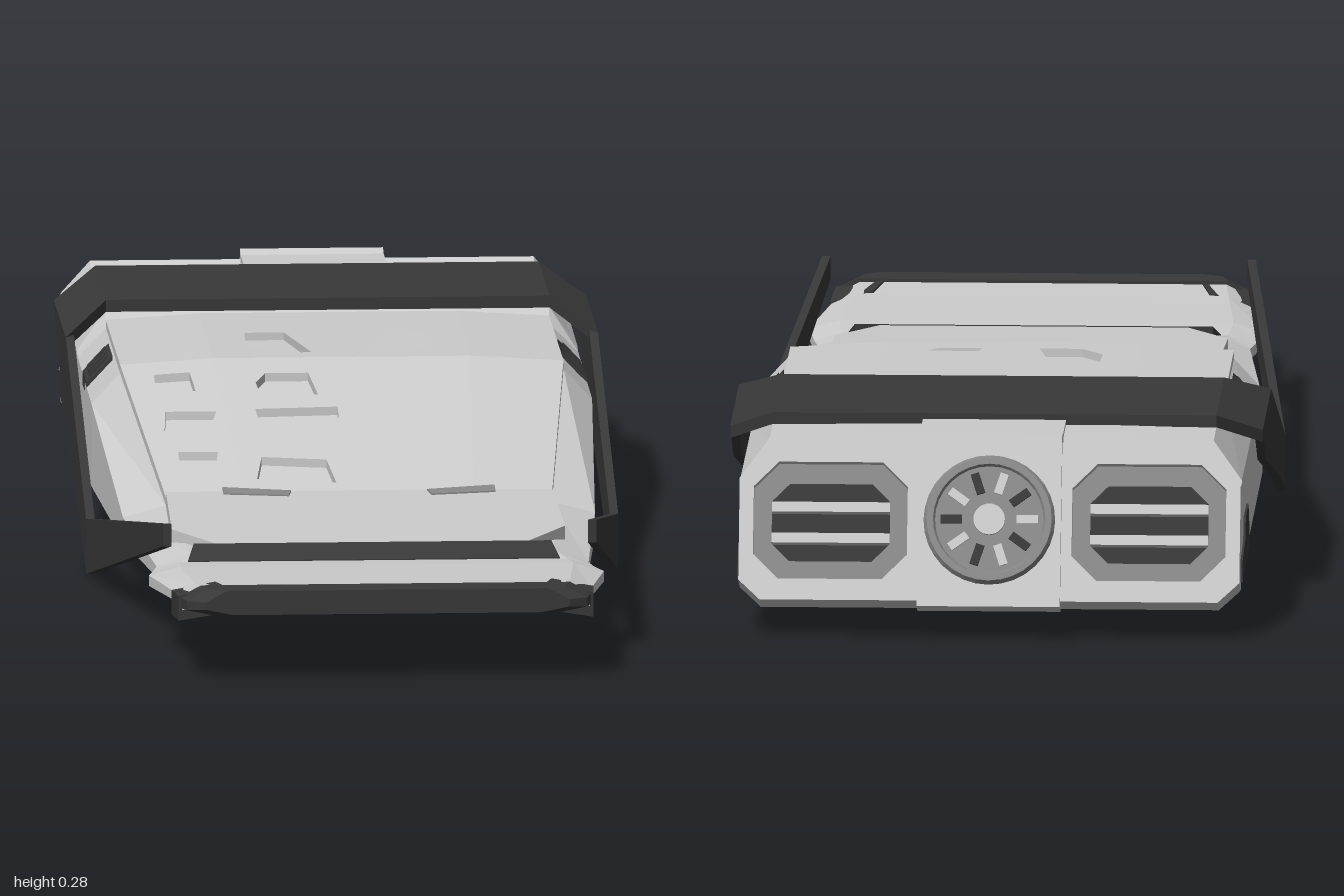
import * as THREE from 'three';

const grey = new THREE.MeshStandardMaterial({ color: 0xcccccc, flatShading: true });
const dark = new THREE.MeshStandardMaterial({ color: 0x383838, flatShading: true });
const mid = new THREE.MeshStandardMaterial({ color: 0x888888, flatShading: true });

function add(parent, name, geo, mat, x = 0, y = 0, z = 0) {
  const m = new THREE.Mesh(geo, mat);
  m.name = name;
  m.position.set(x, y, z);
  parent.add(m);
  return m;
}

// Closed faceted solid through equal-length loops of [x, y, z]
function loft(loops) {
  const tris = [], n = loops[0].length, last = loops.length - 1;
  for (let i = 0; i < last; i++) for (let j = 0; j < n; j++) {
    const k = (j + 1) % n, a = loops[i][j], b = loops[i][k], c = loops[i + 1][k], d = loops[i + 1][j];
    tris.push([a, b, c], [a, c, d]);
  }
  for (let j = 1; j < n - 1; j++) {
    tris.push([loops[0][0], loops[0][j + 1], loops[0][j]]);
    tris.push([loops[last][0], loops[last][j], loops[last][j + 1]]);
  }
  // turn the faces outward if the enclosed volume is negative
  let vol = 0;
  for (const [a, b, c] of tris)
    vol += new THREE.Vector3(...a).dot(new THREE.Vector3(...b).cross(new THREE.Vector3(...c)));
  const flat = tris.flatMap(([a, b, c]) => (vol < 0 ? [...a, ...c, ...b] : [...a, ...b, ...c]));
  const g = new THREE.BufferGeometry();
  g.setAttribute('position', new THREE.Float32BufferAttribute(flat, 3));
  g.computeVertexNormals();
  return g;
}

const toShape = (pts, holes = []) => {
  const s = new THREE.Shape(pts.map(p => new THREE.Vector2(...p)));
  s.holes = holes.map(h => new THREE.Path(h.map(p => new THREE.Vector2(...p))));
  return s;
};
const extrude = (shape, depth) => new THREE.ExtrudeGeometry(shape, { depth, bevelEnabled: false });

// Plate outlined in (x, z), its top following the height rule
function plate(outline, height, depth, holes = [], sx = 1) {
  const f = l => l.map(([x, z]) => [x * sx, -z]);
  const g = extrude(toShape(f(outline), holes.map(f)), depth).rotateX(-Math.PI / 2);
  const p = g.attributes.position;
  for (let i = 0; i < p.count; i++)
    p.setY(i, p.getY(i) - depth + height(Math.abs(p.getX(i)), p.getZ(i)));
  g.computeVertexNormals();
  return g;
}
const mirrorPts = half => [...half, ...half.map(([x, y]) => [-x, y]).reverse()];
const flip = h => h.map(([x, z]) => [-x, z]);

export function createModel() {
  const model = new THREE.Group();
  model.name = 'craft';

  // Hull stations: z, belly width/height, side width, side low/high, shoulder x/y, crown x/y
  const stations = [
    [0.96, 0.24, 0.092, 0.285, 0.098, 0.112, 0.255, 0.127, 0.15, 0.127],
    [0.88, 0.25, 0.087, 0.292, 0.098, 0.11, 0.262, 0.122, 0.15, 0.122],
    [0.72, 0.28, 0.078, 0.318, 0.09, 0.105, 0.275, 0.117, 0.15, 0.117],
    [0.655, 0.28, 0.074, 0.308, 0.085, 0.1, 0.27, 0.112, 0.15, 0.112],
    [0.62, 0.28, 0.07, 0.302, 0.085, 0.1, 0.255, 0.118, 0.15, 0.118],
    [0.28, 0.3, 0.056, 0.33, 0.075, 0.11, 0.27, 0.126, 0.16, 0.133],
    [-0.15, 0.32, 0.055, 0.35, 0.078, 0.195, 0.31, 0.238, 0.18, 0.246],
    [-0.5, 0.32, 0.055, 0.35, 0.078, 0.2, 0.31, 0.24, 0.18, 0.248],
    [-0.52, 0.32, 0.055, 0.35, 0.078, 0.205, 0.31, 0.262, 0.18, 0.265],
    [-0.865, 0.32, 0.055, 0.35, 0.078, 0.21, 0.31, 0.262, 0.18, 0.265],
  ];
  // the last station leans back towards the bottom
  const ring = (half, z) => mirrorPts(half).map(([x, y]) => [x, y, z < -0.8 ? z - 0.4 * (0.265 - y) : z]);
  add(model, 'hull', loft(stations.map(([z, , , w, ya, yc, wo, yo, wi, yi]) =>
    ring([[w, ya], [w, yc], [wo, yo], [wi, yi]], z))), grey);
  add(model, 'belly', loft(stations.map(([z, wb, yb, w, ya]) => ring([[wb, yb], [w, ya]], z))), dark);

  // Dark nose edge with wrapped corners
  add(model, 'noseEdge', loft([[0.95, 0.288, 0.092], [0.985, 0.28, 0.094], [1, 0.255, 0.097]].map(([z, w, y]) =>
    ring([[w - 0.04, y], [w, y + 0.008], [w, 0.115], [w - 0.03, 0.131]], z))), dark);
  for (const s of [-1, 1])
    add(model, 'noseCorner', plate([[0.22, 0.96], [0.235, 0.89], [0.295, 0.875], [0.29, 0.96]],
      (x, z) => 0.129 - Math.max(0, x - 0.262) * 0.4 - (0.96 - z) * 0.05, 0.035, [], s), dark);

  // Cockpit cover: perforated plates over the hull
  const slope = (x, z) => 0.258 - 0.263 * (z + 0.15);
  const sideSlope = (x, z) => 0.258 - 0.0615 * (x - 0.18) - 0.2656 * (z + 0.15);
  const roof = x => 0.258 - 0.0615 * Math.max(0, x - 0.18);
  const front = (x, z) => 0.145 - 0.044 * (z - 0.28);
  const slopeHoles = [
    [[0.04, 0.18], [0.13, 0.17], [0.14, 0.24], [0.03, 0.255]],
    [[0.015, 0.01], [0.13, 0.015], [0.125, 0.09], [0.09, 0.075], [0.015, 0.045]],
    [[0.05, -0.1], [0.11, -0.1], [0.125, -0.07], [0.12, -0.03], [0.04, -0.03]],
  ];
  const roofHoles = [[[0.07, -0.35], [0.125, -0.35], [0.13, -0.23], [0.1, -0.19], [0.04, -0.19]]];
  const sideHoles = [
    [[0.19, 0.15], [0.245, 0.14], [0.245, 0.21], [0.2, 0.24]],
    [[0.185, 0.02], [0.255, 0.01], [0.26, 0.07], [0.2, 0.09]],
    [[0.215, -0.11], [0.265, -0.11], [0.265, -0.06], [0.21, -0.05]],
  ];
  const both = hs => [...hs, ...hs.map(flip)];
  add(model, 'coverSlope', plate(mirrorPts([[0.18, -0.15], [0.16, 0.28]]), slope, 0.016, both(slopeHoles)), grey);
  add(model, 'coverRoof', plate(mirrorPts([[0.18, -0.51], [0.18, -0.15]]), roof, 0.016, both(roofHoles)), grey);
  add(model, 'coverFront', plate(mirrorPts([[0.27, 0.28], [0.275, 0.52], [0.215, 0.62]]), front, 0.022), grey);
  add(model, 'frontStrip', plate(mirrorPts([[0.25, 0.619], [0.26, 0.655]]),
    (x, z) => 0.131 - (z - 0.62) * 0.5, 0.016), dark);
  for (const s of [-1, 1]) {
    add(model, 'coverSide', plate([[0.18, -0.15], [0.31, -0.15], [0.27, 0.28], [0.16, 0.28]],
      sideSlope, 0.016, sideHoles, s), grey);
    add(model, 'coverShoulder', plate([[0.18, -0.51], [0.31, -0.51], [0.31, -0.15], [0.18, -0.15]], roof, 0.016, [], s), grey);
    add(model, 'coverTab', plate([[0.095, 0.285], [0.19, 0.27], [0.19, 0.3], [0.1, 0.315]],
      (x, z) => Math.max(front(x, z), slope(x, z)) + 0.002, 0.006, [], s), mid);
    // Shoulder vent with ribs
    const shoulder = lift => x => 0.238 - 1.07 * (x - 0.31) + lift;
    add(model, 'sideVent', plate([[0.314, -0.37], [0.35, -0.37], [0.35, -0.27], [0.314, -0.27]], shoulder(0.008), 0.02, [], s), dark);
    for (let i = 0; i < 3; i++) {
      const z = -0.355 + i * 0.03;
      add(model, 'ventRib', plate([[0.32, z], [0.345, z], [0.345, z + 0.01], [0.32, z + 0.01]], shoulder(0.013), 0.01, [], s), dark);
    }
  }

  // Band over the back
  const t = 0.017;
  add(model, 'band', loft([[-0.372, 0.245, -0.4, -0.7], [-0.31, 0.28, -0.5, -0.775],
    [0.31, 0.28, -0.5, -0.775], [0.372, 0.245, -0.4, -0.7]].map(([x, y, z0, z1]) =>
    [[x, y, z0], [x, y, z1], [x, y - t, z1], [x, y - t, z0]])), dark);

  // Side arms hanging from the band and running forward, outlined in (z, y)
  const rearArm = [[0.11, 0], [0.11, 0.078], [-0.4, 0.245], [-0.7, 0.245], [-0.585, 0.18], [-0.07, 0.055]];
  const frontArm = [[0.11, 0], [0.8, 0.16], [0.8, 0.192], [0.11, 0.078]];
  const rocker = [[-0.68, 0.075], [-0.7, 0.115], [-0.725, 0.145], [-0.82, 0.145], [-0.84, 0.115], [-0.93, 0.105], [-0.94, 0.075]];
  const sidePlate = (pts, x, s, thick, lean = 0) => {
    const loop = off => pts.map(([z, y]) => [s * (x + off - lean * (z - 0.11)), y, z]);
    const g = extrude(toShape(pts), thick);
    const p = g.attributes.position;
    for (let i = 0; i < p.count; i++) {
      const z = p.getX(i), y = p.getY(i), out = p.getZ(i);
      p.setXYZ(i, x + out - lean * (z - 0.11), y, z);
    }
    // swapping x and z turns the faces, so a mirrored copy needs no fix and the +x copy does
    if (s < 0) g.scale(-1, 1, 1);
    else for (let i = 0; i < p.count; i += 3) {
      const b = new THREE.Vector3().fromBufferAttribute(p, i + 1), c = new THREE.Vector3().fromBufferAttribute(p, i + 2);
      p.setXYZ(i + 1, c.x, c.y, c.z);
      p.setXYZ(i + 2, b.x, b.y, b.z);
    }
    g.computeVertexNormals();
    return g;
  };
  for (const s of [-1, 1]) {
    add(model, 'rearArm', sidePlate(rearArm, 0.36, s, 0.012), dark);
    add(model, 'frontArm', sidePlate(frontArm, 0.36, s, 0.012, 0.1), dark);
    add(model, 'rocker', sidePlate(rocker, 0.343, s, 0.01), dark);
  }

  // Raised spine behind the band
  add(model, 'spine', new THREE.BoxGeometry(0.2, 0.02, 0.17), grey, 0, 0.262, -0.82);

  // Leaning tail: frame, two exhausts and a round emblem-free port
  const tail = new THREE.Group();
  tail.name = 'tail';
  tail.position.set(0, 0.16, -0.945);
  tail.rotation.x = 0.385;
  model.add(tail);
  const octagon = (x0, x1, y, c) => [[x0 + c, -y], [x1 - c, -y], [x1, -y + c], [x1, y - c], [x1 - c, y], [x0 + c, y], [x0, y - c], [x0, -y + c]];
  const opening = octagon(0.115, 0.33, 0.083, 0.035);
  const inner = octagon(0.14, 0.305, 0.055, 0.025);
  add(tail, 'tailFrame', extrude(toShape(mirrorPts([[0.32, -0.113], [0.35, -0.085], [0.35, 0.06], [0.31, 0.113]]),
    [opening, flip(opening)]), 0.055), grey);
  for (const s of [-1, 1]) {
    const side = h => (s < 0 ? flip(h) : h);
    add(tail, 'exhaustRim', extrude(toShape(side(opening), [side(inner)]), 0.02), mid, 0, 0, 0.018);
    add(tail, 'exhaustFloor', extrude(toShape(side(opening)), 0.006), dark, 0, 0, 0.033);
    for (const y of [-0.022, 0.022])
      add(tail, 'exhaustSlat', new THREE.BoxGeometry(0.165, 0.014, 0.02), grey, s * 0.2225, y, 0.024);
  }
  add(tail, 'portPlate', new THREE.BoxGeometry(0.2, 0.246, 0.035), grey, 0, 0, 0.006);
  add(tail, 'portRing', new THREE.TorusGeometry(0.083, 0.009, 6, 32), mid, 0, 0, -0.012);
  const disc = (r, h) => new THREE.CylinderGeometry(r, r, h, 32).rotateX(Math.PI / 2);
  add(tail, 'portFloor', disc(0.08, 0.006), mid, 0, 0, -0.012);
  add(tail, 'portHub', disc(0.022, 0.012), grey, 0, 0, -0.014);
  for (let i = 0; i < 10; i++) {
    const a = (i / 10) * Math.PI * 2;
    const spoke = add(tail, 'portSpoke', new THREE.BoxGeometry(0.03, 0.012, 0.008), i % 2 ? grey : dark,
      Math.cos(a) * 0.053, Math.sin(a) * 0.053, -0.015);
    spoke.rotation.z = a;
  }
  return model;
}
